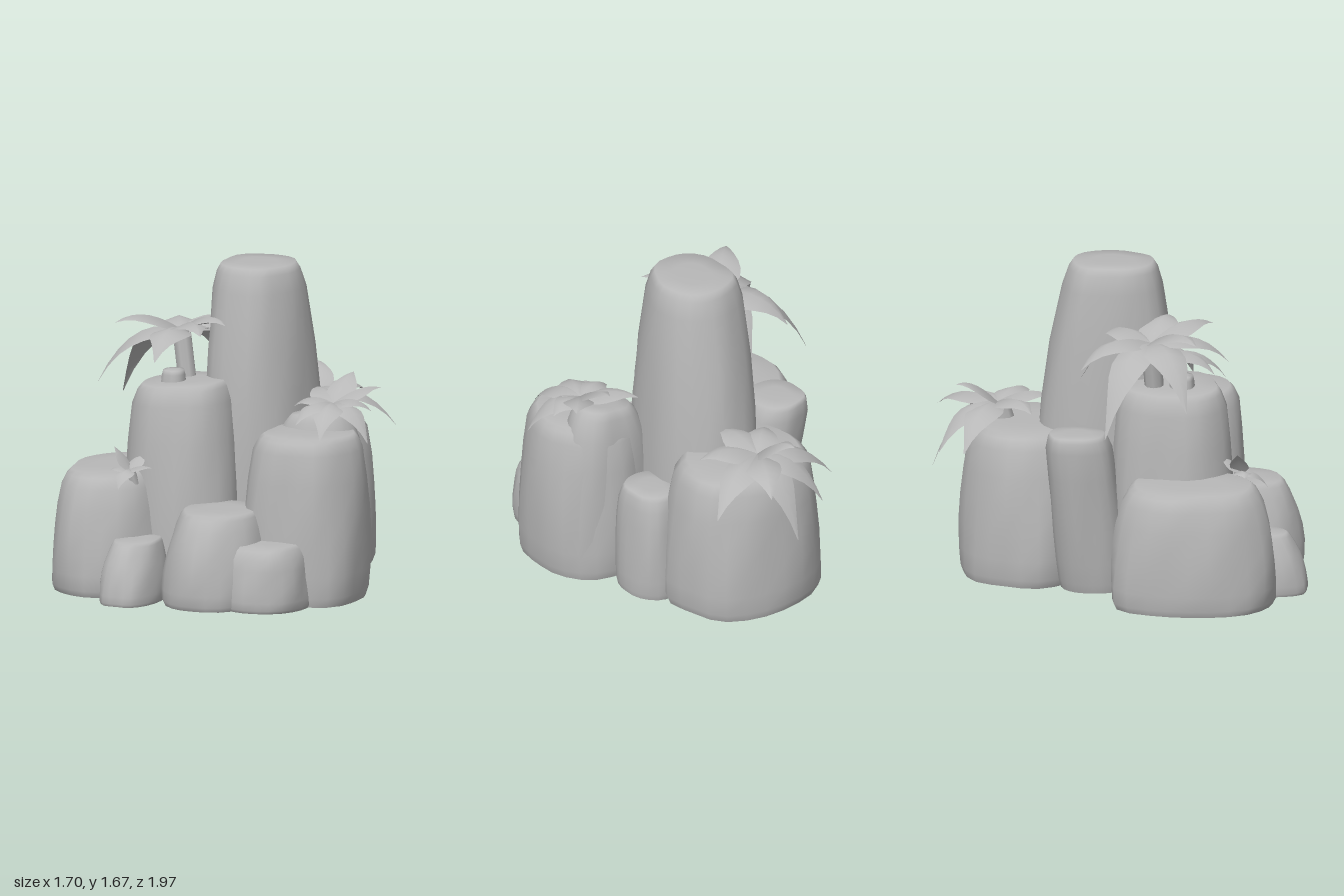
import * as THREE from 'three';

const stone = new THREE.MeshStandardMaterial({ color: 0xb8b8b8, side: THREE.DoubleSide });
stone.name = 'grey stone';

function surface(name, points, index) {
  const geometry = new THREE.BufferGeometry();
  geometry.setAttribute('position', new THREE.Float32BufferAttribute(points, 3));
  geometry.setIndex(index);
  geometry.computeVertexNormals();
  const mesh = new THREE.Mesh(geometry, stone);
  mesh.name = name;
  return mesh;
}

// Lumpy column: rounded rings with steep walls and a softened flat top
function rock(name, { x, z, rx, rz, h, top = 0.9, topZ = top, edge = 0.08, rim = 0.82, dx = 0, dz = 0, tiltX = 0, tiltZ = 0, seed = 1 }) {
  const N = 24, points = [], index = [];
  const shoulder = h - Math.min(edge, h * 0.18);
  // height, blend towards the top size, inset
  const rings = [
    [0, 0, 0.96], [0.06 * shoulder, 0, 1], [0.2 * shoulder, 0, 1.01], [0.4 * shoulder, 0.05, 1.01], [0.6 * shoulder, 0.18, 1],
    [0.8 * shoulder, 0.5, 1], [shoulder, 1, 1], [h - (h - shoulder) * 0.28, 1, 0.45 + rim * 0.55],
    [h, 1, rim], [h + 0.004, 1, rim * 0.5],
  ];
  rings.forEach(([y, blend, inset], j) => {
    const t = y / h;
    const sx = inset * (1 + (top - 1) * blend), sz = inset * (1 + (topZ - 1) * blend);
    for (let i = 0; i < N; i++) {
      const a = (i / N) * Math.PI * 2, c = Math.cos(a), d = Math.sin(a);
      const round = (Math.abs(c) ** 2.3 + Math.abs(d) ** 2.3) ** (-1 / 2.3);
      const lump = 1 + 0.025 * Math.sin(3 * a + seed * 2.1 + t) + 0.02 * Math.sin(5 * a + seed * 4.7 - t * 3)
        + 0.012 * Math.sin(7 * a + seed + t * 6);
      const r = round * lump, px = c * r * rx * sx, pz = d * r * rz * sz;
      const lift = t * t * (px * tiltX + pz * tiltZ);
      points.push(x + dx * t + px, y + lift, z + dz * t + pz);
    }
  });
  for (let j = 0; j < rings.length - 1; j++) {
    for (let i = 0; i < N; i++) {
      const p = j * N + i, q = j * N + ((i + 1) % N);
      index.push(p, p + N, q, q, p + N, q + N);
    }
  }
  // top cap, then a separate underside so the foot stays crisp
  const last = (rings.length - 1) * N, tip = points.length / 3;
  points.push(x + dx, h + 0.004, z + dz);
  for (let i = 0; i < N; i++) index.push(last + i, tip, last + ((i + 1) % N));
  const foot = points.length / 3;
  points.push(...points.slice(0, N * 3), x, 0, z);
  for (let i = 0; i < N; i++) index.push(foot + i, foot + ((i + 1) % N), foot + N);
  return surface(name, points, index);
}

// Broad folded leaf that arches out of the crown and curls down to its tip
function leaf(start, tip, width, arch) {
  const a = new THREE.Vector3(...start), b = new THREE.Vector3(...tip);
  const bend = a.clone().lerp(b, 0.6);
  bend.y = (a.y + b.y) / 2 + arch + 0.4 * Math.max(0, a.y - b.y);
  const curve = new THREE.QuadraticBezierCurve3(a, bend, b);
  const side = new THREE.Vector3(-(b.z - a.z), 0, b.x - a.x).normalize();
  const widths = [0.4, 0.75, 1, 0.97, 0.78, 0.5, 0.24, 0.02];
  const points = [], index = [];
  widths.forEach((w, j) => {
    const p = curve.getPoint(j / (widths.length - 1));
    for (const k of [-1, 0, 1]) {
      const q = p.clone().addScaledVector(side, k * w * width / 2);
      points.push(q.x, q.y - (k ? 0.18 * w * width : 0), q.z);
    }
    if (j) {
      for (let k = 0; k < 2; k++) {
        const n = j * 3 + k;
        index.push(n - 3, n - 2, n, n - 2, n + 1, n);
      }
    }
  });
  return surface('leaf', points, index);
}

function plant(name, crown, foot, stemRadius, width, arch, tips) {
  const group = new THREE.Group();
  group.name = name;
  const path = new THREE.LineCurve3(new THREE.Vector3(...foot), new THREE.Vector3(...crown));
  const stem = new THREE.Mesh(new THREE.TubeGeometry(path, 3, stemRadius, 8), stone);
  stem.name = 'stem';
  group.add(stem);
  for (const t of tips) group.add(leaf(crown, t, width, arch));
  return group;
}

export function createModel() {
  const model = new THREE.Group();
  model.name = 'rock garden';

  // Rock columns
  const rocks = {
    core: { x: 0.06, z: 0.15, rx: 0.4, rz: 0.5, h: 0.46, top: 0.85, seed: 2 },
    tower: { x: 0.085, z: -0.1, rx: 0.28, rz: 0.37, h: 1.665, top: 0.82, topZ: 0.7, edge: 0.13, rim: 0.8, dx: -0.03, dz: 0.05, seed: 1 },
    midColumn: { x: -0.2, z: 0.29, rx: 0.295, rz: 0.32, h: 1.08, top: 0.87, edge: 0.1, dx: -0.01, dz: -0.01, tiltX: 0.06, seed: 3 },
    midColumnKnob: { x: -0.25, z: 0.33, rx: 0.085, rz: 0.09, h: 1.14, top: 0.75, seed: 5 },
    leftRock: { x: -0.53, z: 0.4, rx: 0.32, rz: 0.42, h: 0.635, top: 0.87, tiltX: 0.03, seed: 4 },
    frontLeftStone: { x: -0.28, z: 0.75, rx: 0.15, rz: 0.245, h: 0.315, top: 0.82, dz: -0.04, seed: 6 },
    frontRock: { x: 0.13, z: 0.6, rx: 0.27, rz: 0.33, h: 0.485, top: 0.83, dx: 0.01, dz: -0.01, seed: 7 },
    frontRightStone: { x: 0.39, z: 0.59, rx: 0.25, rz: 0.26, h: 0.335, top: 0.92, seed: 8 },
    rightRock: { x: 0.48, z: 0.29, rx: 0.32, rz: 0.33, h: 0.87, top: 0.84, topZ: 0.9, dx: 0.03, seed: 9 },
    rightMound: { x: 0.46, z: 0.15, rx: 0.27, rz: 0.19, h: 0.95, top: 0.82, topZ: 0.85, edge: 0.15, rim: 0.65, dx: 0.03, tiltX: 0.15, seed: 10 },
    rightBackStone: { x: 0.43, z: -0.18, rx: 0.17, rz: 0.19, h: 0.59, top: 0.88, seed: 11 },
    backRock: { x: 0.07, z: -0.5, rx: 0.42, rz: 0.335, h: 0.8, top: 0.87, topZ: 0.9, dz: 0.01, seed: 12 },
    leftBackStone: { x: -0.25, z: -0.12, rx: 0.17, rz: 0.18, h: 0.85, top: 0.95, dx: -0.12, dz: -0.09, seed: 13 },
  };
  for (const name in rocks) model.add(rock(name, rocks[name]));

  // Plants
  model.add(plant('tallPlant', [-0.28, 1.32, 0.17], [-0.23, 1.0, 0.19], 0.05, 0.21, 0.12, [
    [-0.71, 0.92, -0.04], [-0.66, 1.05, 0.38], [-0.54, 1.38, 0.42], [-0.25, 1.22, 0.57],
    [-0.03, 1.36, 0.48], [0.01, 1.38, 0.26], [-0.13, 1.31, -0.1], [-0.22, 1.1, -0.2], [-0.47, 1.22, -0.18],
  ]));
  model.add(plant('rightPlant', [0.6, 1.01, 0.2], [0.58, 0.85, 0.2], 0.045, 0.16, 0.07, [
    [0.85, 0.84, 0.32], [0.78, 1.07, 0.0], [0.6, 1.13, -0.05], [0.39, 1.03, -0.02],
    [0.39, 0.98, 0.24], [0.5, 0.93, 0.45], [0.66, 0.87, 0.5], [0.8, 0.98, 0.17],
  ]));
  model.add(plant('backPlant', [0.1, 0.88, -0.65], [0.1, 0.72, -0.6], 0.06, 0.19, 0.09, [
    [0.1, 0.52, -0.99], [0.49, 0.7, -0.81], [-0.27, 0.7, -0.8], [-0.1, 0.66, -0.94],
    [0.26, 0.82, -0.97], [0.02, 0.99, -0.86], [0.36, 0.87, -0.5], [-0.1, 0.87, -0.46], [0.13, 0.9, -0.36],
  ]));
  model.add(plant('smallPlant', [-0.36, 0.66, 0.64], [-0.34, 0.56, 0.62], 0.03, 0.1, 0.03, [
    [-0.45, 0.77, 0.63], [-0.46, 0.65, 0.67], [-0.36, 0.58, 0.78], [-0.24, 0.67, 0.62], [-0.32, 0.73, 0.53],
  ]));
  return model;
}
